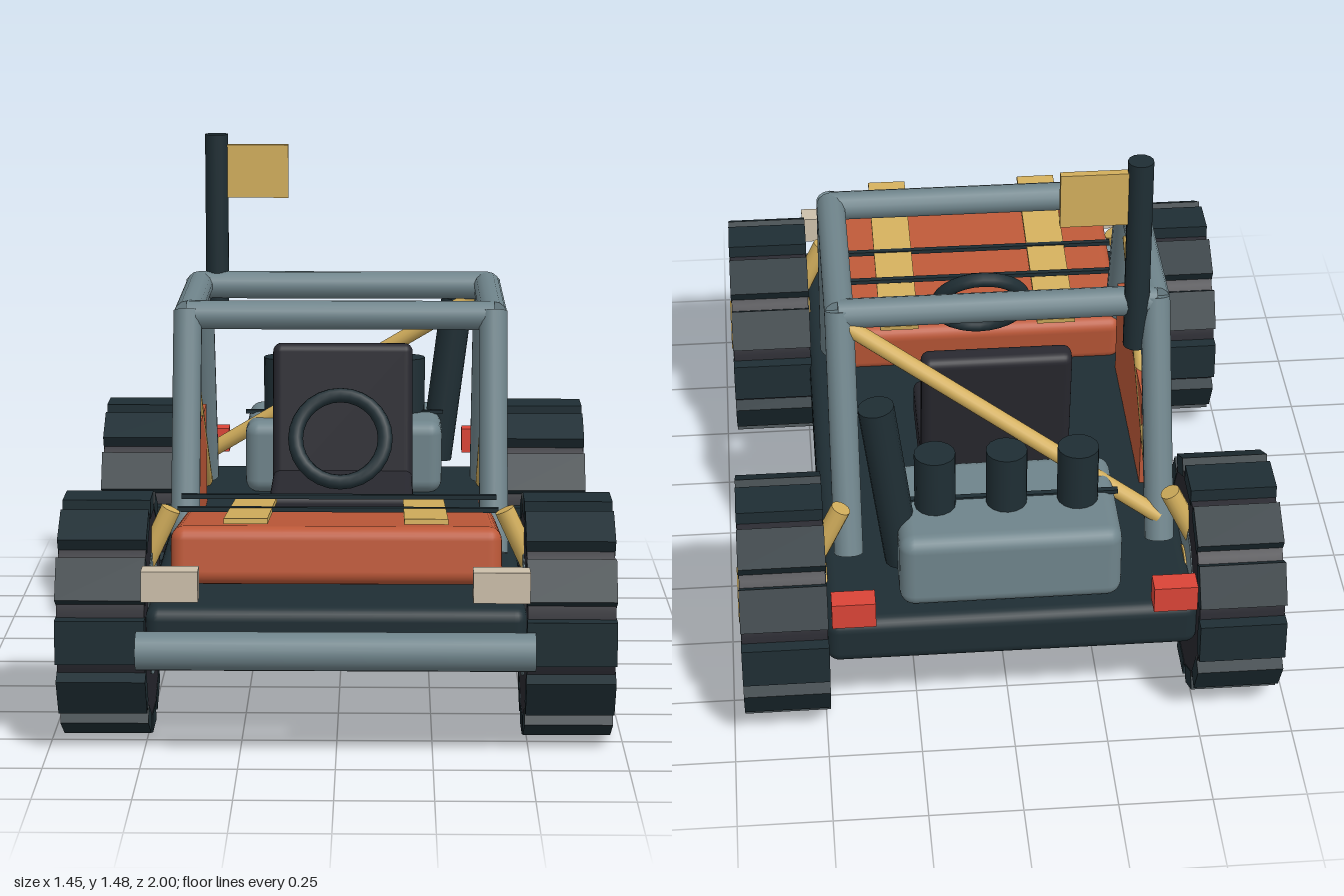
import * as THREE from 'three';
import { RoundedBoxGeometry } from 'three/addons/geometries/RoundedBoxGeometry.js';

const mat = (color) => new THREE.MeshStandardMaterial({ color });
const DARK = mat(0x1f2e34), BLACK = mat(0x28282f), STEEL = mat(0x6f848b), GOLD = mat(0xd2ae5c),
  ORANGE = mat(0xbc5838), CREAM = mat(0xcdc0ab), RED = mat(0xdb4437);

export function createModel() {
  const model = new THREE.Group();
  model.name = 'buggy';

  const add = (name, geometry, material, x = 0, y = 0, z = 0, rx = 0, parent = model) => {
    const mesh = new THREE.Mesh(geometry, material);
    mesh.name = name;
    mesh.position.set(x, y, z);
    mesh.rotation.x = rx;
    parent.add(mesh);
    return mesh;
  };
  const box = (w, h, d) => new THREE.BoxGeometry(w, h, d);
  const rounded = (w, h, d, r) => new RoundedBoxGeometry(w, h, d, 3, r);

  // Straight tube between two points
  const pipe = (name, a, b, r, material, sides = 14) => {
    const from = new THREE.Vector3(...a), to = new THREE.Vector3(...b);
    const dir = to.clone().sub(from);
    const mesh = add(name, new THREE.CylinderGeometry(r, r, dir.length(), sides), material);
    mesh.position.copy(from).add(to).multiplyScalar(0.5);
    mesh.quaternion.setFromUnitVectors(new THREE.Vector3(0, 1, 0), dir.normalize());
    return mesh;
  };

  // Body: chassis slab, sloping hood, engine block
  add('chassis', rounded(0.99, 0.137, 1.785, 0.035), DARK, 0, 0.318, -0.028);
  add('hood', rounded(0.85, 0.15, 0.635, 0.035), ORANGE, 0, 0.487, 0.57, -0.14);
  add('engine', rounded(0.59, 0.22, 0.37, 0.04), STEEL, 0, 0.493, -0.685);
  for (const z of [0.425, 0.58]) add('hoodSeam', box(0.85, 0.012, 0.016), DARK, 0, 0.585, z);
  add('engineSeam', box(0.6, 0.012, 0.016), DARK, 0, 0.602, -0.68);

  // Seat and steering wheel
  add('seatCushion', rounded(0.41, 0.12, 0.37, 0.025), BLACK, 0, 0.44, -0.15);
  add('seatBack', rounded(0.41, 0.45, 0.07, 0.025), BLACK, 0, 0.642, -0.355, -0.15);
  add('steeringWheel', new THREE.TorusGeometry(0.125, 0.021, 10, 28), DARK, 0, 0.685, 0.133, -0.45);

  // Front bumper
  pipe('bumper', [-0.51, 0.298, 0.95], [0.51, 0.298, 0.95], 0.05, STEEL, 18);

  // Parts mirrored on both sides
  for (const s of [-1, 1]) {
    add('headlight', box(0.145, 0.08, 0.062), CREAM, s * 0.422, 0.47, 0.936);
    add('tailLight', box(0.115, 0.075, 0.06), RED, s * 0.422, 0.462, -0.952);
    add('hoodStrap', box(0.112, 0.014, 0.668), GOLD, s * 0.23, 0.581, 0.574, -0.14);
    add('sidePanel', box(0.045, 0.295, 0.57), ORANGE, s * 0.425, 0.537, -0.085);

    // Roll cage side
    const x = s * 0.422;
    pipe('cageFrontLeg', [x, 0.41, 0.345], [x, 1.045, 0.133], 0.04, STEEL);
    pipe('cageRearLeg', [x, 0.41, -0.645], [x, 1.045, -0.415], 0.04, STEEL);
    pipe('cageRail', [x, 1.033, 0.135], [x, 1.033, -0.42], 0.04, STEEL);
    pipe('sideBrace', [x, 0.905, 0.1], [x, 0.4, -0.615], 0.022, GOLD);

    // Shock absorbers and wheels
    for (const [shockZ, wheelZ] of [[0.62, 0.628], [-0.69, -0.682]]) {
      pipe('shockAbsorber', [s * 0.44, 0.595, shockZ], [s * 0.56, 0.34, shockZ], 0.027, GOLD);
      model.add(makeWheel(s, wheelZ));
    }
  }

  // Cage crossbars and rear diagonal
  for (const z of [0.13, -0.417])
    pipe('cageCrossbar', [-0.425, 1.033, z], [0.425, 1.033, z], 0.04, STEEL);
  pipe('rearDiagonal', [0.41, 1.01, -0.435], [-0.42, 0.48, -0.64], 0.023, GOLD);

  // Intake stacks and exhaust
  for (const x of [-0.19, 0, 0.19]) pipe('intakeStack', [x, 0.55, -0.7], [x, 0.768, -0.7], 0.055, DARK, 16);
  pipe('exhaust', [0.28, 0.45, -0.728], [0.343, 0.945, -0.728], 0.048, DARK, 16);

  // Flag
  pipe('flagPole', [-0.37, 0.905, -0.434], [-0.37, 1.475, -0.434], 0.034, DARK);
  add('flag', box(0.185, 0.155, 0.022), GOLD, -0.253, 1.367, -0.434);

  // Chunky wheel: tyre, hub, cap and ring of tread blocks
  function makeWheel(side, z) {
    const wheel = new THREE.Group();
    wheel.name = 'wheel';
    wheel.position.set(side * 0.604, 0.316, z);
    const disc = (name, r, w, sides, material) => {
      const g = new THREE.CylinderGeometry(r, r, w, sides).rotateZ(Math.PI / 2);
      add(name, g, material, 0, 0, 0, 0, wheel);
    };
    disc('tyre', 0.288, 0.226, 24, BLACK);
    disc('hub', 0.17, 0.232, 12, STEEL);
    disc('hubCap', 0.075, 0.242, 16, GOLD);
    for (let i = 0; i < 12; i++) {
      const a = (i / 12) * Math.PI * 2;
      add('treadBlock', box(0.23, 0.05, 0.115), DARK, 0, Math.cos(a) * 0.291, Math.sin(a) * 0.291, a, wheel);
    }
    return wheel;
  }

  return model;
}
